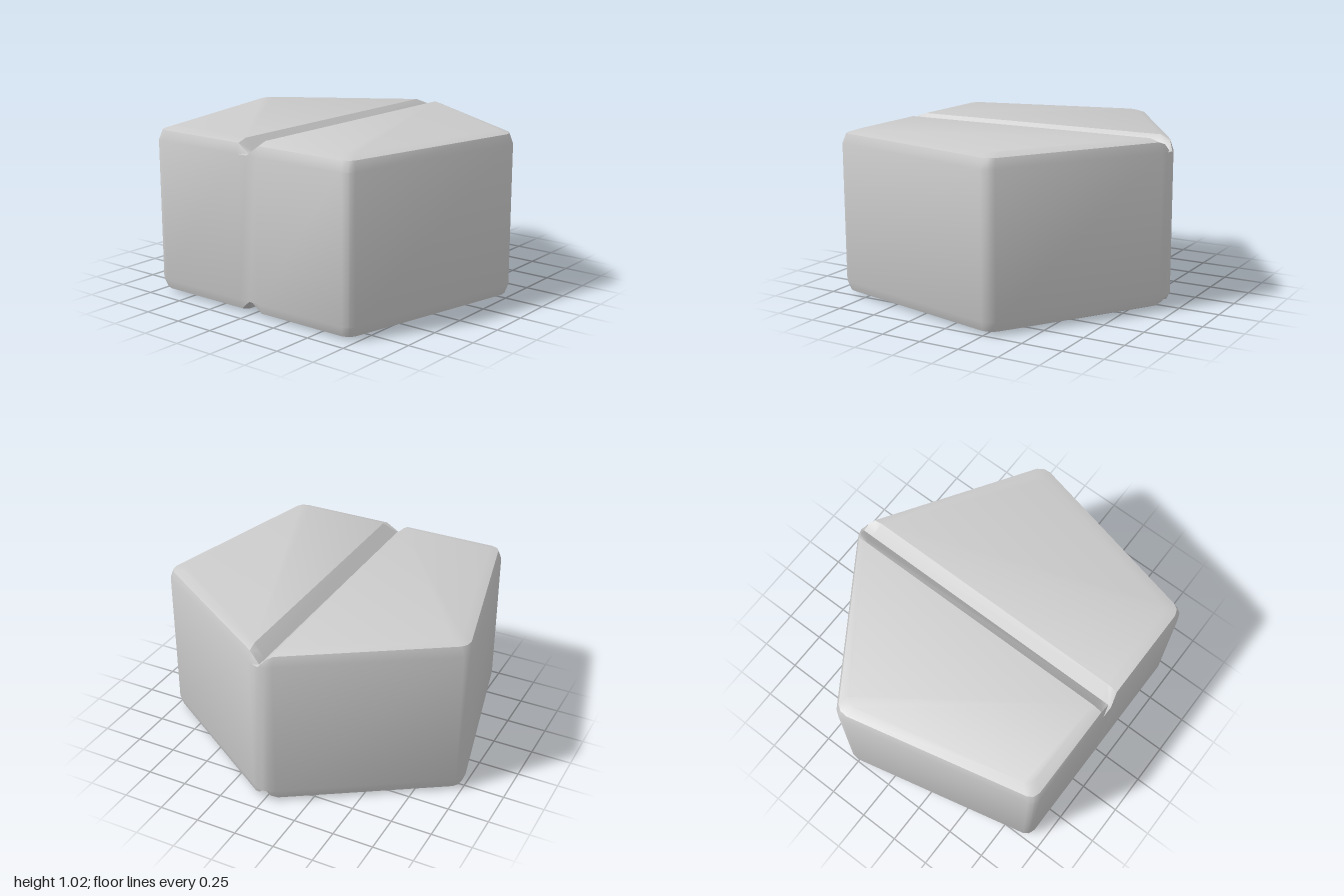
import * as THREE from 'three';
import { toCreasedNormals } from 'three/addons/utils/BufferGeometryUtils.js';

const HEIGHT = 1.02;
const GROOVE = 0.075; // half width and depth of the V groove

// Right half of the pentagon outline (x, z), from the back tip to the front middle
const half = [
  [0, -0.93], [0.04, -0.92], [GROOVE, -0.9],
  [0.97, -0.32], [0.995, -0.285], [1, -0.24],
  [0.74, 0.88], [0.72, 0.91], [0.68, 0.925],
  [GROOVE, 0.925], [0, 0.925],
];
const outline = [...half, ...half.slice(1, -1).reverse().map(([x, z]) => [-x, z])];

// Rings from bottom to top: height and inset of the softened rim
const rings = [
  [0, 0.08], [0.02, 0.02], [0.08, 0],
  [HEIGHT - 0.08, 0], [HEIGHT - 0.02, 0.02], [HEIGHT, 0.08],
];

function ringPoint([x, z], [y, inset]) {
  const s = 1 - inset / 0.92;
  const ax = Math.abs(x);
  // The groove keeps its width and cuts into the top and bottom rims
  const cut = Math.max(0, GROOVE - ax);
  const py = Math.min(Math.max(y, cut), HEIGHT - cut);
  return [ax <= GROOVE ? x : x * s, py, z * s];
}

function blockGeometry() {
  const n = outline.length;
  const positions = rings.flatMap((r) => outline.flatMap((p) => ringPoint(p, r)));
  const index = [];

  // Walls and rims
  for (let r = 0; r < rings.length - 1; r++) {
    for (let i = 0; i < n; i++) {
      const a = r * n + i;
      const b = r * n + ((i + 1) % n);
      index.push(b, a, a + n, b, a + n, b + n);
    }
  }

  // Flat halves and groove slopes, on the bottom and the top
  const caps = [
    [0, 1, 2, 9, 10],
    [2, 3, 4, 5, 6, 7, 8, 9],
    [10, 11, 18, 19, 0],
    [11, 12, 13, 14, 15, 16, 17, 18],
  ];
  const top = (rings.length - 1) * n;
  for (const c of caps) {
    for (let i = 1; i < c.length - 1; i++) {
      index.push(c[0], c[i], c[i + 1]);
      index.push(top + c[0], top + c[i + 1], top + c[i]);
    }
  }

  const geometry = new THREE.BufferGeometry();
  geometry.setAttribute('position', new THREE.Float32BufferAttribute(positions, 3));
  geometry.setIndex(index);
  return toCreasedNormals(geometry, 0.68);
}

export function createModel() {
  const group = new THREE.Group();
  group.name = 'pentagonBlock';
  const block = new THREE.Mesh(
    blockGeometry(),
    new THREE.MeshStandardMaterial({ color: 0xcccccc })
  );
  block.name = 'groovedBlock';
  group.add(block);
  return group;
}
